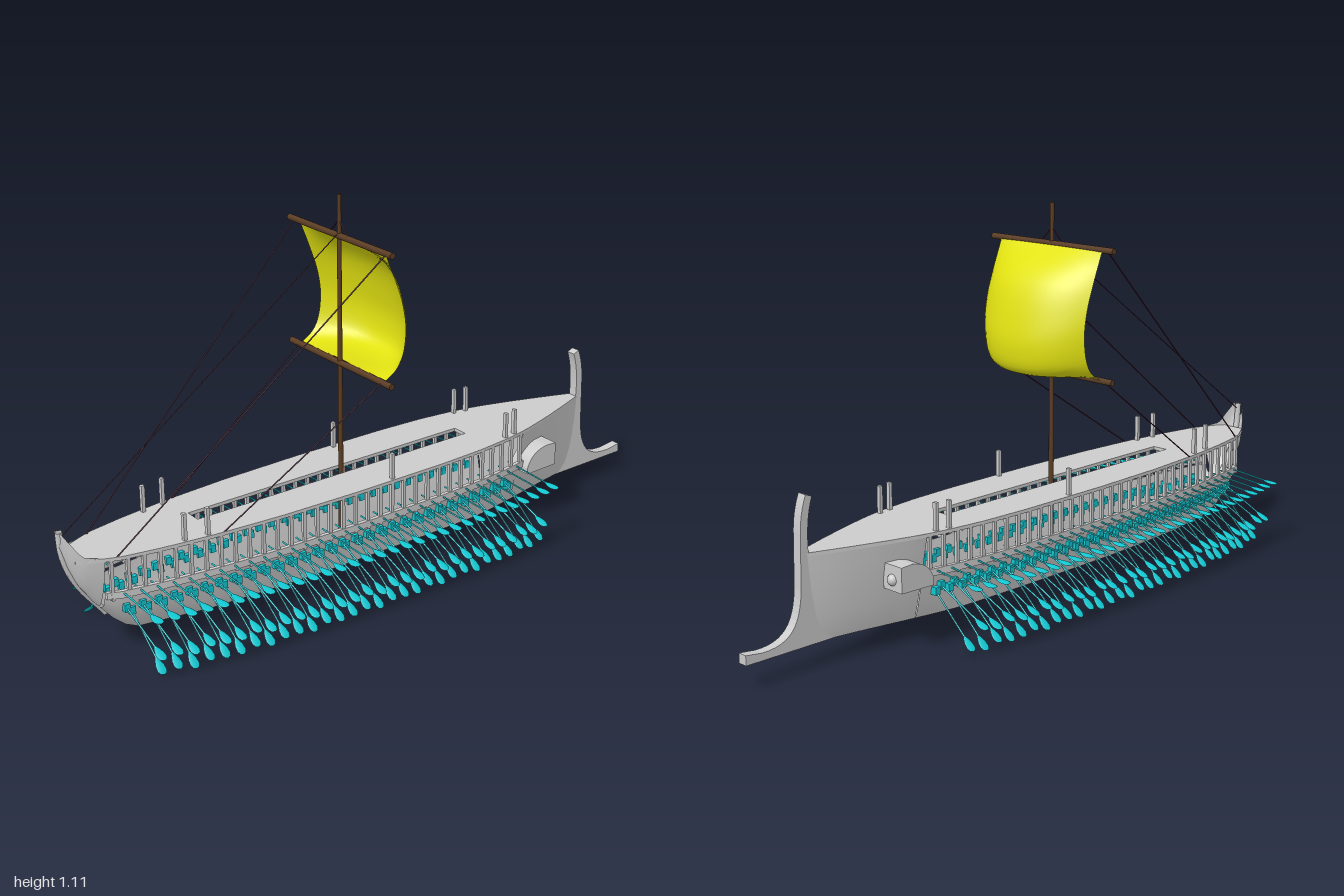
import * as THREE from 'three';
import { mergeGeometries, toCreasedNormals } from 'three/addons/utils/BufferGeometryUtils.js';

const V = (x, y, z) => new THREE.Vector3(x, y, z);
const mat = (color) => new THREE.MeshStandardMaterial({ color, side: THREE.DoubleSide });

// Piecewise linear lookup in [[x, value], ...]
function lookup(table, x) {
  if (x <= table[0][0]) return table[0][1];
  for (let i = 1; i < table.length; i++) {
    const [x0, a] = table[i - 1], [x1, b] = table[i];
    if (x <= x1) return a + (b - a) * (x - x0) / (x1 - x0);
  }
  return table[table.length - 1][1];
}

// Deck half width, keel height, rim height and side flare
const deckHalf = (x) => lookup([[-0.99, 0.015], [-0.97, 0.033], [-0.94, 0.052], [-0.87, 0.085], [-0.75, 0.108],
  [-0.6, 0.128], [-0.4, 0.143], [-0.15, 0.15], [0.15, 0.149], [0.3, 0.142], [0.42, 0.128], [0.5, 0.112],
  [0.6, 0.083], [0.7, 0.05], [0.8, 0.014]], x);
const keelY = (x) => lookup([[-0.995, 0.36], [-0.975, 0.29], [-0.95, 0.23], [-0.91, 0.17], [-0.87, 0.12], [-0.84, 0.09], [-0.8, 0.07]], x);
const sternRim = (x) => lookup([[-0.995, 0.4], [-0.975, 0.365], [-0.95, 0.325], [-0.9, 0.315]], x);
const flare = (y) => lookup([[0.07, 0.62], [0.12, 0.68], [0.2, 0.8], [0.315, 1]], y);
const bilge = (x) => lookup([[-0.99, 0.35], [-0.85, 0.5], [-0.6, 0.9], [-0.3, 1], [0.35, 1], [0.6, 0.75], [0.8, 0.5]], x);

// Hull skin between two stations
function hullSkin(x0, x1, stations, rim) {
  const rows = [[0, 0, 0], [0.001, 1, 0], [0.12, 0.55, 0.45], [0.3, 0.25, 0.75], [0.55, 0.06, 0.94], [0.8, 0, 1], [1, 0, 1]];
  const pos = [], index = [], n = rows.length * 2 - 1;
  for (let i = 0; i <= stations; i++) {
    const x = x0 + (x1 - x0) * i / stations, yb = keelY(x), yt = rim(x);
    for (let k = 0; k < n; k++) {
      const j = k - rows.length + 1, [f, a, b] = rows[Math.abs(j)];
      const y = yb + (yt - yb) * f;
      pos.push(x, y, Math.sign(j) * deckHalf(x) * flare(y) * (a * bilge(x) + b));
    }
  }
  for (let i = 0; i < stations; i++) for (let k = 0; k < n - 1; k++) {
    const a = i * n + k, b = a + n;
    index.push(a, b, a + 1, b, b + 1, a + 1);
  }
  const g = new THREE.BufferGeometry();
  g.setAttribute('position', new THREE.Float32BufferAttribute(pos, 3));
  g.setIndex(index);
  return toCreasedNormals(g, 0.7);
}

// Plan shape in x/z extruded upward from y
function slab(points, y, height, hole) {
  const shape = new THREE.Shape(points.map(([x, z]) => new THREE.Vector2(x, -z)));
  if (hole) shape.holes.push(new THREE.Path(hole.map(([x, z]) => new THREE.Vector2(x, -z))));
  return new THREE.ExtrudeGeometry(shape, { depth: height, bevelEnabled: false, curveSegments: 1 })
    .rotateX(-Math.PI / 2).translate(0, y, 0);
}
const stationsX = (x0, x1, n) => Array.from({ length: n + 1 }, (_, i) => x0 + (x1 - x0) * i / n);
const box = (w, h, d, x, y, z) => new THREE.BoxGeometry(w, h, d).translate(x, y, z);
const rod = (a, b, r, sides = 8) => new THREE.TubeGeometry(new THREE.LineCurve3(a, b), 1, r, sides);

// One oar from grip to tip, with a flat teardrop blade
function oar(from, to) {
  const len = from.distanceTo(to), bladeLen = 0.052;
  const shaft = new THREE.CylinderGeometry(0.0025, 0.0025, len - 0.03, 5).rotateX(Math.PI / 2).translate(0, 0, (len - 0.03) / 2);
  const blade = new THREE.SphereGeometry(1, 8, 6).rotateX(Math.PI / 2);
  const p = blade.attributes.position;
  for (let i = 0; i < p.count; i++) p.setX(i, p.getX(i) * (0.7 + 0.35 * p.getZ(i)));
  blade.scale(0.018, 0.003, bladeLen / 2).translate(0, 0, len - bladeLen / 2);
  blade.computeVertexNormals();
  const o = new THREE.Object3D();
  o.position.copy(from);
  o.lookAt(to);
  o.updateMatrix();
  return mergeGeometries([shaft, blade]).applyMatrix4(o.matrix);
}

export function createModel() {
  const ship = new THREE.Group();
  ship.name = 'galley';
  const grey = mat(0xcccccc), wood = mat(0x5a3c22), teal = mat(0x12c8d2), yellow = mat(0xe2e212), cord = mat(0x4a1c34);
  const add = (name, geometry, material) => {
    const m = new THREE.Mesh(geometry, material);
    m.name = name;
    ship.add(m);
    return m;
  };

  // Hull: raised stern, low open midship, full-height bow
  add('sternHull', hullSkin(-0.992, -0.9, 10, sternRim), grey);
  add('midHull', hullSkin(-0.9, 0.485, 40, () => 0.195), grey);
  add('bowHull', hullSkin(0.485, 0.8, 14, () => 0.315), grey);

  // Deck with long central slot
  const xs = stationsX(-0.965, 0.8, 50);
  const edge = xs.map((x) => [x, deckHalf(x)]);
  const mirror = [...xs].reverse().map((x) => [x, -deckHalf(x)]);
  add('deck', slab([...edge, ...mirror], 0.306, 0.01,
    [[-0.595, -0.024], [0.335, -0.024], [0.335, 0.024], [-0.595, 0.024]]), grey);

  // Stempost with ram, and sternpost
  const stem = new THREE.Shape();
  stem.moveTo(0.78, 0.46);
  stem.lineTo(0.8, 0.468);
  stem.quadraticCurveTo(0.82, 0.42, 0.82, 0.36);
  stem.lineTo(0.823, 0.22);
  stem.bezierCurveTo(0.83, 0.13, 0.86, 0.09, 0.95, 0.093);
  stem.lineTo(1, 0.1);
  stem.lineTo(1, 0.073);
  stem.lineTo(0.72, 0.069);
  stem.quadraticCurveTo(0.79, 0.15, 0.795, 0.3);
  stem.quadraticCurveTo(0.803, 0.4, 0.78, 0.46);
  const stemGeo = new THREE.ExtrudeGeometry(stem, { depth: 0.028, bevelEnabled: false }).translate(0, 0, -0.014);
  add('stemAndRam', stemGeo, grey);
  const sternPath = new THREE.CatmullRomCurve3([V(-0.87, 0.122, 0), V(-0.95, 0.233, 0), V(-0.982, 0.32, 0), V(-0.988, 0.39, 0)]);
  add('sternPost', new THREE.TubeGeometry(sternPath, 12, 0.01, 6), grey);

  const rails = [], posts = [], beams = [], bitts = [], sleeves = [], rows = [[], [], []];
  for (const s of [1, -1]) {
    // Outrigger rail and the posts carrying the deck
    const rx = stationsX(-0.9, 0.49, 36);
    rails.push(slab([...rx.map((x) => [x, s * deckHalf(x)]),
      ...[...rx].reverse().map((x) => [x, s * (deckHalf(x) - 0.012)])], 0.197, 0.02));
    for (const x of stationsX(-0.885, 0.475, 32)) {
      const w = deckHalf(x);
      posts.push(box(0.01, 0.1, 0.009, x, 0.26, s * (w - 0.006)));
      beams.push(box(0.008, 0.008, w * 0.22, x, 0.196, s * w * 0.89));
    }

    // Bitts on deck
    for (const x of [-0.685, -0.62, -0.03, 0.41, 0.45])
      bitts.push(box(0.01, 0.085, 0.012, x, 0.35, s * (deckHalf(x) - 0.012)));

    // Three banks of oars with sleeves at the hull
    stationsX(-0.86, 0.455, 30).forEach((x, i) => {
      const w = deckHalf(x), wob = 0.006 * Math.sin(i * 2.4);
      rows[0].push(oar(V(x, 0.212, s * w * 0.7), V(x + 0.008, 0.197, s * (w + 0.17))));
      if (i === 30) return;
      const xb = x + 0.014, xc = x + 0.03, hull = 0.71;
      rows[1].push(oar(V(xb, 0.16, s * w * hull), V(xb + 0.008, 0.078 + wob, s * (w + 0.152))));
      rows[2].push(oar(V(xc, 0.148, s * w * hull), V(xc + 0.008, 0.014 + wob, s * (w + 0.118))));
      sleeves.push(box(0.016, 0.022, 0.022, xb, 0.158, s * w * 0.75), box(0.016, 0.022, 0.022, xc, 0.145, s * w * 0.74));
    });

    // Cathead block with round knob
    const side = new THREE.Shape();
    side.moveTo(0.485, 0.182);
    side.lineTo(0.597, 0.185);
    side.lineTo(0.597, 0.255);
    side.lineTo(0.56, 0.257);
    side.quadraticCurveTo(0.5, 0.25, 0.485, 0.2);
    const block = new THREE.ExtrudeGeometry(side, { depth: 0.07, bevelEnabled: false }).translate(0, 0, s > 0 ? 0.068 : -0.138);
    add('cathead', block, grey);
    add('catheadKnob', new THREE.SphereGeometry(0.016, 12, 8).translate(0.595, 0.215, s * 0.102), grey);

    // Rigging
    const lines = [
      [V(-0.105, 1, s * 0.205), V(-0.87, 0.315, s * 0.08)],
      [V(-0.105, 0.64, s * 0.19), V(-0.58, 0.315, s * 0.128)],
      [V(-0.105, 1.045, 0), V(-0.105, 1, s * 0.045)],
    ];
    for (const [a, b] of lines) add('rope', rod(a, b, 0.002, 5), cord);
  }
  add('backstay', rod(V(-0.105, 1.01, 0), V(-0.988, 0.37, 0), 0.0015, 5), cord);
  add('outriggerRails', mergeGeometries(rails), grey);
  add('deckPosts', mergeGeometries(posts), grey);
  add('outriggerBeams', mergeGeometries(beams), grey);
  add('bitts', mergeGeometries(bitts), grey);
  add('oarSleeves', mergeGeometries(sleeves), teal);
  ['upperOars', 'middleOars', 'lowerOars'].forEach((name, i) => add(name, mergeGeometries(rows[i]), teal));

  // Mast and yards
  add('mast', new THREE.CylinderGeometry(0.006, 0.008, 1.035, 10).translate(-0.105, 0.5975, 0), wood);
  for (const y of [1, 0.637])
    add('yard', new THREE.CylinderGeometry(0.009, 0.009, 0.46, 10).rotateX(Math.PI / 2).translate(-0.105, y, 0), wood);

  // Billowing sail blended between its side edge and its middle
  const curve = (pts) => new THREE.CatmullRomCurve3(pts.map(([x, y]) => V(x, y, 0)));
  const middle = curve([[-0.1, 0.645], [-0.01, 0.642], [0.04, 0.66], [0.055, 0.72], [0.047, 0.79], [0.005, 0.91], [-0.1, 1]]);
  const hem = curve([[-0.1, 0.638], [-0.06, 0.665], [-0.04, 0.7], [-0.03, 0.77], [-0.04, 0.84], [-0.06, 0.9], [-0.1, 1]]);
  const sail = new THREE.PlaneGeometry(2, 1, 24, 24);
  const p = sail.attributes.position;
  for (let i = 0; i < p.count; i++) {
    const u = p.getX(i), v = p.getY(i) + 0.5;
    const q = hem.getPoint(v).lerp(middle.getPoint(v), 1 - Math.abs(u) ** 2.4);
    p.setXYZ(i, q.x, q.y, -0.192 * u);
  }
  sail.computeVertexNormals();
  add('sail', sail, yellow);
  return ship;
}
